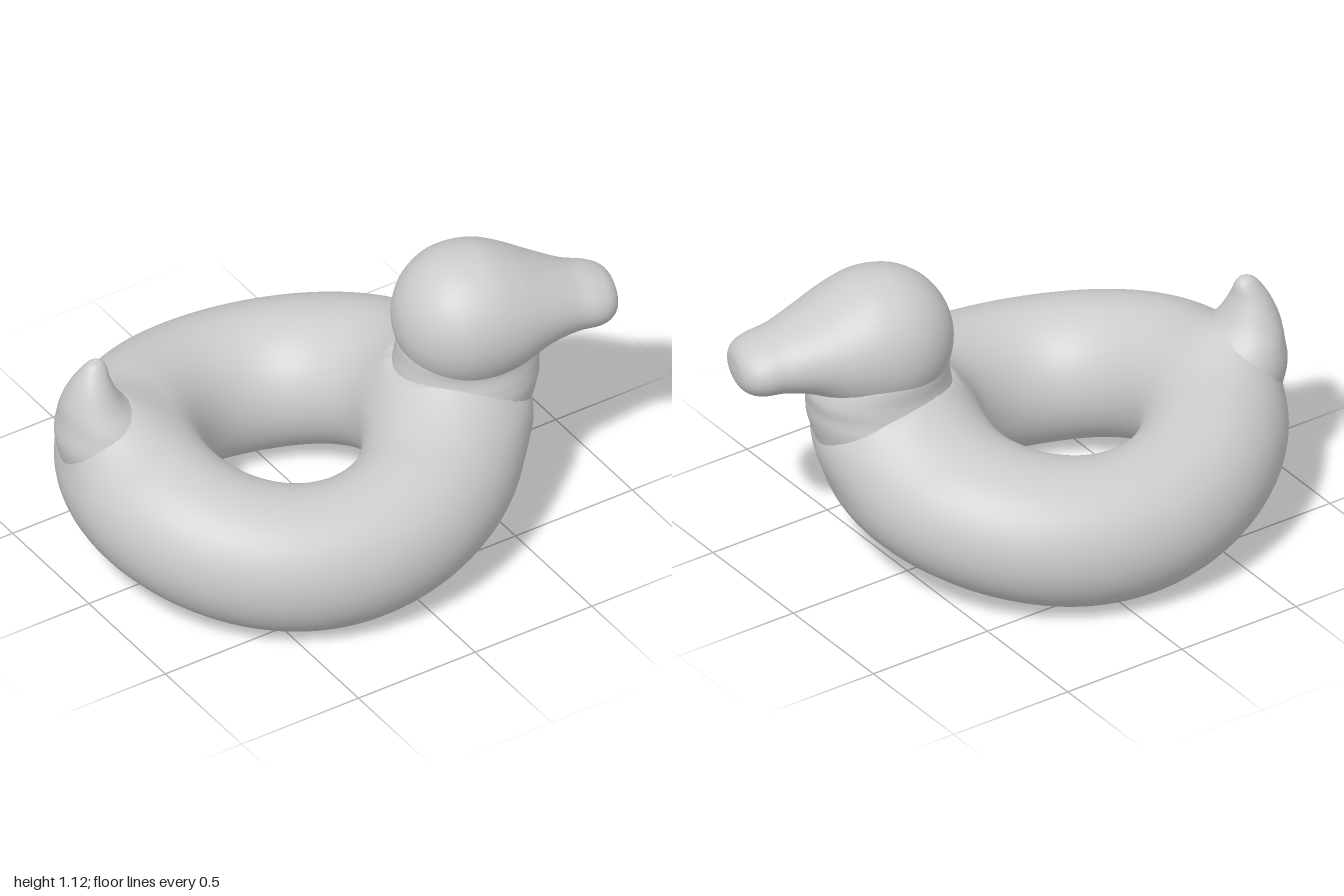
import * as THREE from 'three';
import { ParametricGeometry } from 'three/addons/geometries/ParametricGeometry.js';

const material = new THREE.MeshStandardMaterial({ color: 0xcccccc });
const TAU = Math.PI * 2;
const UP = new THREE.Vector3(0, 1, 0);
const BACK = new THREE.Vector3(0, 0, -1);
const HEADING = 0.27; // the float faces slightly off the x axis
const { smoothstep } = THREE.MathUtils;

function surface(name, uSteps, vSteps, fn) {
  const mesh = new THREE.Mesh(new ParametricGeometry(fn, uSteps, vSteps), material);
  mesh.name = name;
  return mesh;
}

// Smooth skin over elliptical rings: [x, y, z, halfWidth, halfHeight]
function loft(name, rings, axis, b, steps) {
  const a = new THREE.Vector3().crossVectors(b, axis);
  const centres = new THREE.CatmullRomCurve3(
    rings.map(r => new THREE.Vector3(r[0], r[1], r[2])), false, 'catmullrom');
  const radii = new THREE.CatmullRomCurve3(
    rings.map(r => new THREE.Vector3(r[3], r[4], 0)), false, 'catmullrom');
  const size = new THREE.Vector3();
  return surface(name, 40, steps, (u, v, p) => {
    centres.getPoint(v, p);
    radii.getPoint(v, size);
    p.addScaledVector(a, Math.cos(u * TAU) * size.x);
    p.addScaledVector(b, Math.sin(u * TAU) * size.y);
  });
}

// Swelling of the ring close to a part that grows out of it
function swell(distance, reach) {
  return reach / 4 * Math.max(0, 1 - Math.max(0, distance) / reach) ** 2;
}

export function createModel() {
  const group = new THREE.Group();
  group.name = 'duckFloat';

  // Ring body: fatter at the front, both ends curving up, swelling into neck and tail
  group.add(surface('ringBody', 56, 140, (u, v, p) => {
    const phi = v * TAU, t = u * TAU;
    const outer = 0.835 + 0.03 * Math.cos(phi) + 0.025 * Math.cos(2 * phi);
    const inner = 0.285;
    const r = (outer + inner) / 2 + (outer - inner) / 2 * Math.cos(t);
    const y = 0.27 + 0.1 * Math.cos(phi - HEADING) ** 2 + 0.27 * Math.sin(t);
    const x = -0.17 + r * Math.cos(phi), z = r * Math.sin(phi);
    const neckGap = Math.hypot((x - 0.46) / 1.1, z - 0.22) - 0.235;
    const tailGap = Math.hypot(x + 0.83, z + 0.22) - 0.12;
    const push = swell(neckGap, 0.24) * smoothstep(y, 0.3, 0.52)
      + swell(tailGap, 0.2) * smoothstep(y, 0.42, 0.64);
    const out = r + push * Math.cos(t);
    p.set(-0.17 + out * Math.cos(phi), y + push * Math.sin(t), out * Math.sin(phi));
  }));

  // Neck rising from the ring
  group.add(loft('neck', [
    [0.44, 0.40, 0.20, 0.24, 0.24],
    [0.45, 0.50, 0.21, 0.265, 0.26],
    [0.458, 0.58, 0.215, 0.28, 0.265],
    [0.468, 0.64, 0.22, 0.275, 0.25],
    [0.475, 0.70, 0.22, 0.272, 0.236],
    [0.465, 0.78, 0.225, 0.25, 0.235],
    [0.46, 0.86, 0.23, 0.20, 0.20],
  ], UP, BACK, 30));

  // Head and beak in one skin, from the back of the skull to the beak tip
  const dir = new THREE.Vector3(Math.cos(HEADING), 0, Math.sin(HEADING));
  const along = (s, y, w, h) => [0.455 + dir.x * s, y, 0.235 + dir.z * s, w, h];
  const skull = [];
  for (let i = 0; i <= 6; i++) {
    const q = i / 6 * Math.PI / 2;
    const r = Math.max(0.002, 0.265 * Math.sin(q));
    skull.push(along(-0.265 * Math.cos(q), 0.86, r, r));
  }
  group.add(loft('headAndBeak', [
    ...skull,
    along(0.08, 0.862, 0.26, 0.255),
    along(0.17, 0.862, 0.24, 0.218),
    along(0.28, 0.862, 0.20, 0.158),
    along(0.39, 0.848, 0.162, 0.12),
    along(0.475, 0.837, 0.15, 0.106),
    along(0.525, 0.835, 0.125, 0.086),
    along(0.553, 0.836, 0.08, 0.052),
    along(0.561, 0.837, 0.002, 0.002),
  ], dir, UP, 56));

  // Pointed tail
  group.add(loft('tail', [
    [-0.78, 0.42, -0.21, 0.16, 0.18],
    [-0.79, 0.54, -0.21, 0.18, 0.20],
    [-0.81, 0.63, -0.215, 0.15, 0.175],
    [-0.84, 0.71, -0.22, 0.108, 0.125],
    [-0.845, 0.79, -0.22, 0.072, 0.08],
    [-0.833, 0.85, -0.22, 0.046, 0.042],
    [-0.828, 0.874, -0.22, 0.024, 0.022],
    [-0.827, 0.88, -0.22, 0.002, 0.002],
  ], UP, BACK, 32));

  return group;
}
